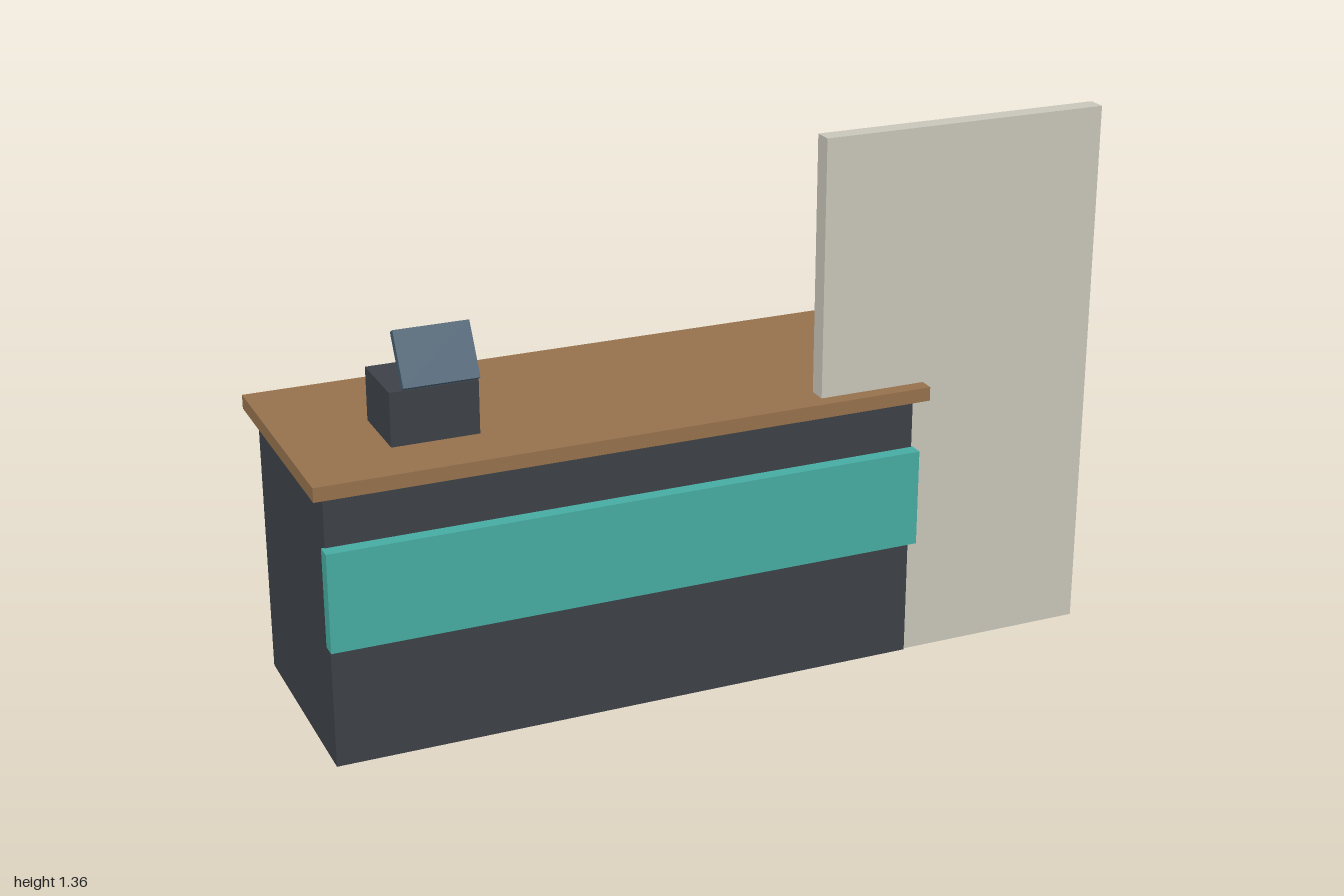
import * as THREE from 'three';

const paint = (name, color) => {
  const m = new THREE.MeshStandardMaterial({ color });
  m.name = name;
  return m;
};

export function createModel() {
  const charcoal = paint('charcoal', 0x3d4148);
  const wood = paint('wood', 0x96714c);
  const teal = paint('teal', 0x46aba1);
  const stone = paint('stone', 0xc9c6ba);
  const slate = paint('slate blue', 0x475d70);

  const group = new THREE.Group();
  group.name = 'serviceCounter';

  // Box given by its extents along each axis
  const box = (name, material, [x0, x1], [y0, y1], [z0, z1]) => {
    const mesh = new THREE.Mesh(new THREE.BoxGeometry(x1 - x0, y1 - y0, z1 - z0), material);
    mesh.position.set((x0 + x1) / 2, (y0 + y1) / 2, (z0 + z1) / 2);
    mesh.name = name;
    group.add(mesh);
    return mesh;
  };

  // Counter with worktop and front band
  box('counterBody', charcoal, [-0.972, 0.506], [0.002, 0.682], [-0.277, 0.275]);
  box('worktop', wood, [-1, 0.536], [0.682, 0.717], [-0.309, 0.305]);
  box('frontBand', teal, [-0.98, 0.51], [0.31, 0.555], [0.272, 0.31]);

  // Upright partition passing through the end of the counter
  box('partition', stone, [0.262, 1], [0, 1.357], [0.22, 0.267]);

  // Till with its tilted display above
  box('till', charcoal, [-0.772, -0.558], [0.717, 0.85], [-0.033, 0.151]);
  const display = box('display', slate, [-0.756, -0.574], [0.865, 1], [0.159, 0.18]);
  display.rotation.x = -Math.PI / 6;

  return group;
}
